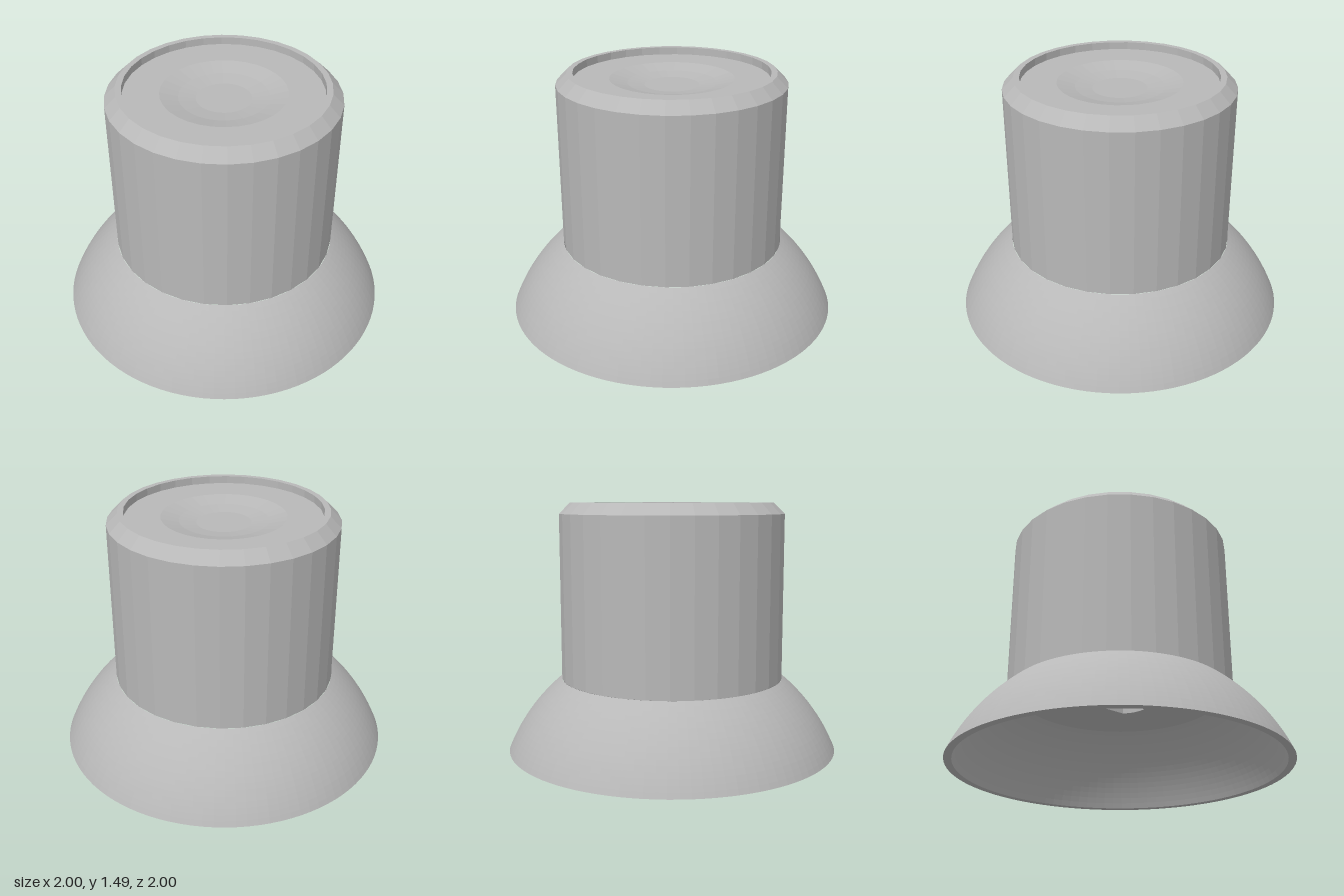
import * as THREE from 'three';

export function createModel() {
  const model = new THREE.Group();
  model.name = 'knob';
  const grey = new THREE.MeshStandardMaterial({ color: 0xb8b8b8 });
  grey.name = 'grey plastic';
  grey.flatShading = true;

  const add = (name, geometry, y = 0) => {
    const mesh = new THREE.Mesh(geometry, grey);
    mesh.name = name;
    mesh.position.y = y;
    model.add(mesh);
  };
  const lathe = (points, sides) =>
    new THREE.LatheGeometry(points.map(([r, y]) => new THREE.Vector2(r, y)), sides);

  const skirtTop = 0.43, bossRadius = 0.317;

  // Skirt: hollow slice of a sphere whose centre lies below the base
  const centreY = -0.418, rings = 16;
  const arc = (baseRadius) => {
    const R = Math.hypot(baseRadius, centreY);
    const a0 = Math.asin(-centreY / R), a1 = Math.asin((skirtTop - centreY) / R);
    return Array.from({ length: rings + 1 }, (_, i) => {
      const a = a0 + (a1 - a0) * i / rings;
      return [R * Math.cos(a), centreY + R * Math.sin(a)];
    });
  };
  add('skirt', lathe([[bossRadius, skirtTop], ...arc(0.955).reverse(), ...arc(1)], 100));

  // Grip: faceted cylinder, chamfered rim, recessed top with a shallow finger dish
  add('grip', lathe([
    [0.675, skirtTop], [0.675, 1.42], [0.61, 1.485], [0.575, 1.485], [0.575, 1.44],
    [0.365, 1.44], [0.26, 1.414], [0.16, 1.4], [0, 1.398],
  ], 32));

  // Shaft socket: round boss with a bore that has two flat sides
  const bore = (PathType) => {
    const path = new PathType();
    const r = 0.182, a = Math.PI / 4;
    path.absarc(0, 0, r, -a, a, false);
    path.absarc(0, 0, r, Math.PI - a, Math.PI + a, false);
    path.closePath();
    return path;
  };
  const bossY = 0.4, boreDepth = 0.7;
  const boss = new THREE.Shape().absarc(0, 0, bossRadius, 0, Math.PI * 2, false);
  boss.holes.push(bore(THREE.Path));
  add('shaftBoss', new THREE.ExtrudeGeometry(boss, {
    depth: boreDepth, bevelEnabled: false, curveSegments: 16,
  }).rotateX(-Math.PI / 2), bossY);
  add('boreEnd', new THREE.ShapeGeometry(bore(THREE.Shape), 16).rotateX(Math.PI / 2), bossY + boreDepth);

  return model;
}
